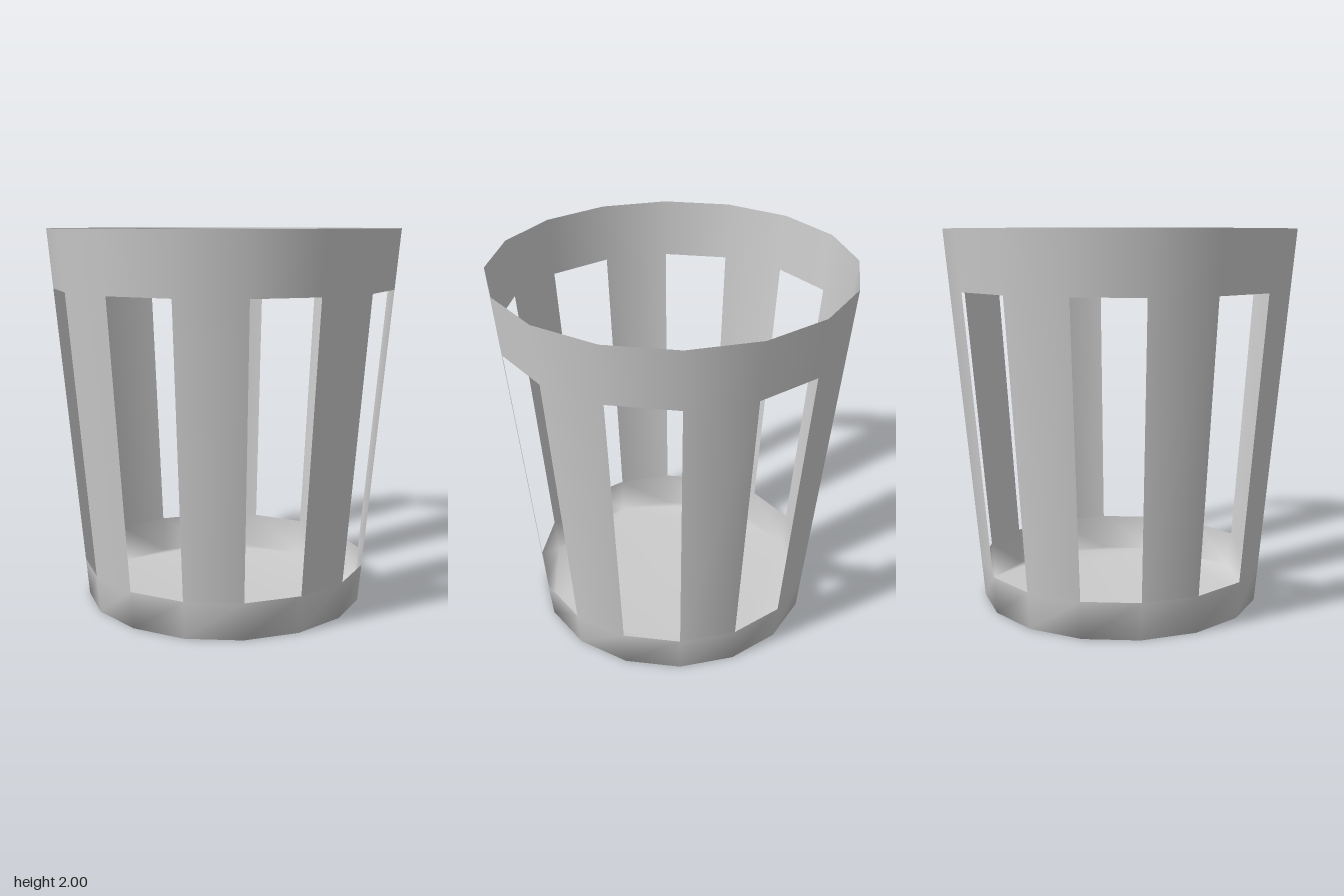
import * as THREE from 'three';

const SIDES = 16, HEIGHT = 2, BAND_TOP = 0.2, RIM_BOTTOM = 1.69;
const STEP = (Math.PI * 2) / SIDES;
const radiusAt = (y) => 0.755 + 0.0885 * y;
const material = new THREE.MeshStandardMaterial({ color: 0xcccccc, side: THREE.DoubleSide });

// Piece of the tapered wall between two heights
function wall(name, y0, y1, segments = SIDES, start = 0) {
  const geometry = new THREE.CylinderGeometry(
    radiusAt(y1), radiusAt(y0), y1 - y0, segments, 1, true, start * STEP, segments * STEP);
  const mesh = new THREE.Mesh(geometry, material);
  mesh.name = name;
  mesh.position.y = (y0 + y1) / 2;
  return mesh;
}

// Low band and flat floor share their corners, so the shading rolls around the edge
function createBase() {
  const positions = [], indices = [];
  for (const y of [0, BAND_TOP]) {
    for (let i = 0; i < SIDES; i++) {
      const r = radiusAt(y);
      positions.push(r * Math.sin(i * STEP), y, r * Math.cos(i * STEP));
    }
  }
  // Band
  for (let i = 0; i < SIDES; i++) {
    const j = (i + 1) % SIDES;
    indices.push(i, j, j + SIDES, i, j + SIDES, i + SIDES);
  }
  // Floor: cut off every other corner until it is filled
  for (let s = 1; s < SIDES / 2; s *= 2) {
    for (let i = 0; i < SIDES; i += 2 * s) indices.push((i + 2 * s) % SIDES, i + s, i);
  }
  const geometry = new THREE.BufferGeometry();
  geometry.setAttribute('position', new THREE.Float32BufferAttribute(positions, 3));
  geometry.setIndex(indices);
  geometry.computeVertexNormals();
  const mesh = new THREE.Mesh(geometry, material);
  mesh.name = 'base';
  return mesh;
}

export function createModel() {
  const basket = new THREE.Group();
  basket.name = 'basket';
  basket.add(createBase(), wall('rim', RIM_BOTTOM, HEIGHT));

  // Slats fill every other side, leaving tall openings between them
  const slats = new THREE.Group();
  slats.name = 'slats';
  for (let i = 1; i < SIDES; i += 2) slats.add(wall('slat', BAND_TOP, RIM_BOTTOM, 1, i));
  basket.add(slats);
  return basket;
}
